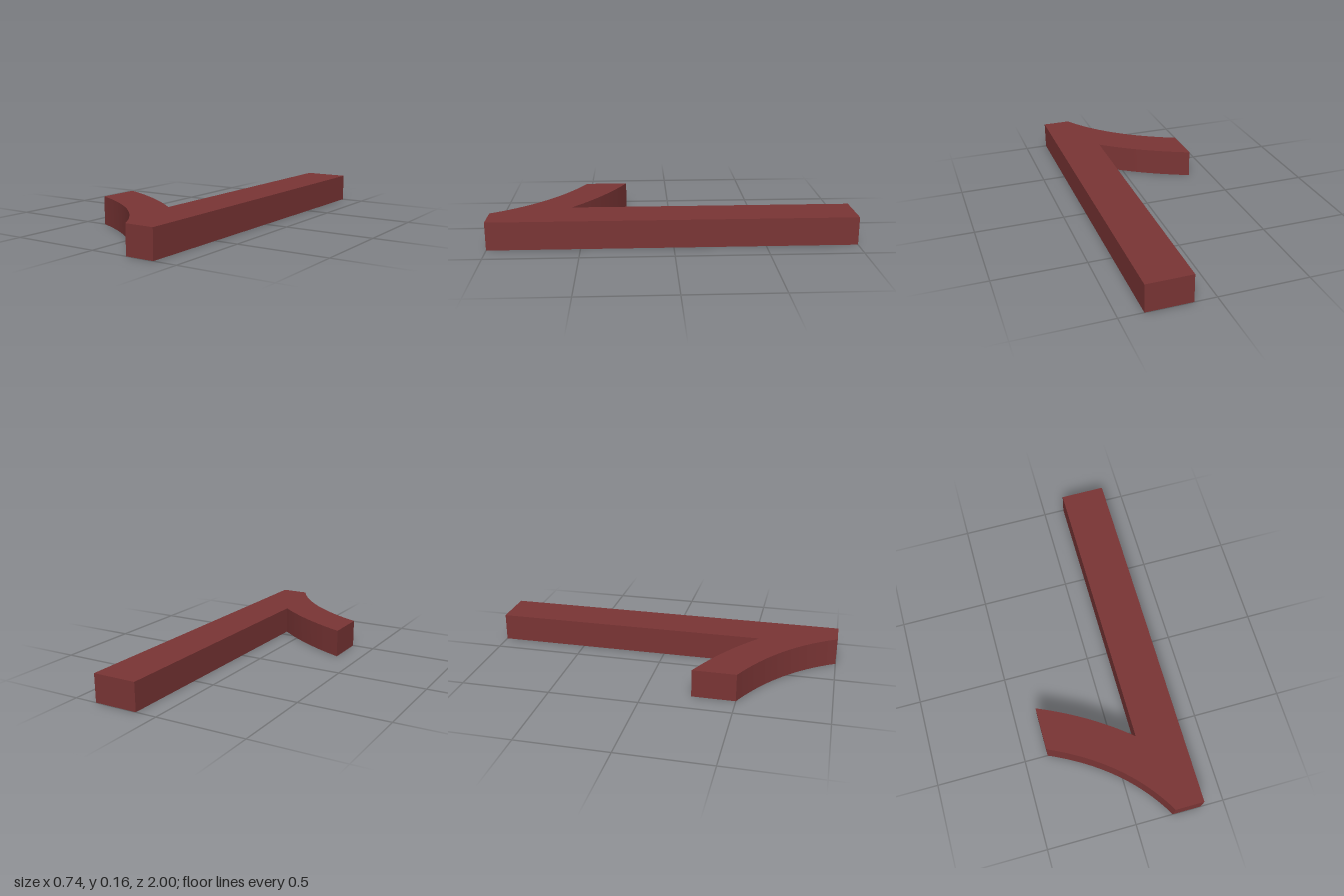
import * as THREE from 'three';
import { toCreasedNormals } from 'three/addons/utils/BufferGeometryUtils.js';

export function createModel() {
  const model = new THREE.Group();
  model.name = 'hookedBar';
  const darkRed = new THREE.MeshStandardMaterial({ color: 0x7a3535 });
  darkRed.name = 'darkRed';

  // Plan outline, drawn with y pointing to the back (-z)
  const outline = new THREE.Shape();
  outline.moveTo(0.37, 1);
  outline.lineTo(0.12, 1);
  outline.lineTo(0.12, -0.56);
  // Inner edge of the curved arm
  outline.quadraticCurveTo(-0.09, -0.38, -0.37, -0.26);
  outline.lineTo(-0.37, -0.5);
  // Outer edge of the curved arm
  outline.quadraticCurveTo(0.03, -0.68, 0.21, -1);
  outline.lineTo(0.37, -1);
  outline.closePath();

  // Straight bar with curved arm, laid flat on the ground
  const geometry = new THREE.ExtrudeGeometry(outline, {
    depth: 0.156, bevelEnabled: false, curveSegments: 20,
  });
  geometry.rotateX(-Math.PI / 2);
  const bar = new THREE.Mesh(toCreasedNormals(geometry, Math.PI / 9), darkRed);
  bar.name = 'barWithCurvedArm';
  model.add(bar);

  return model;
}
